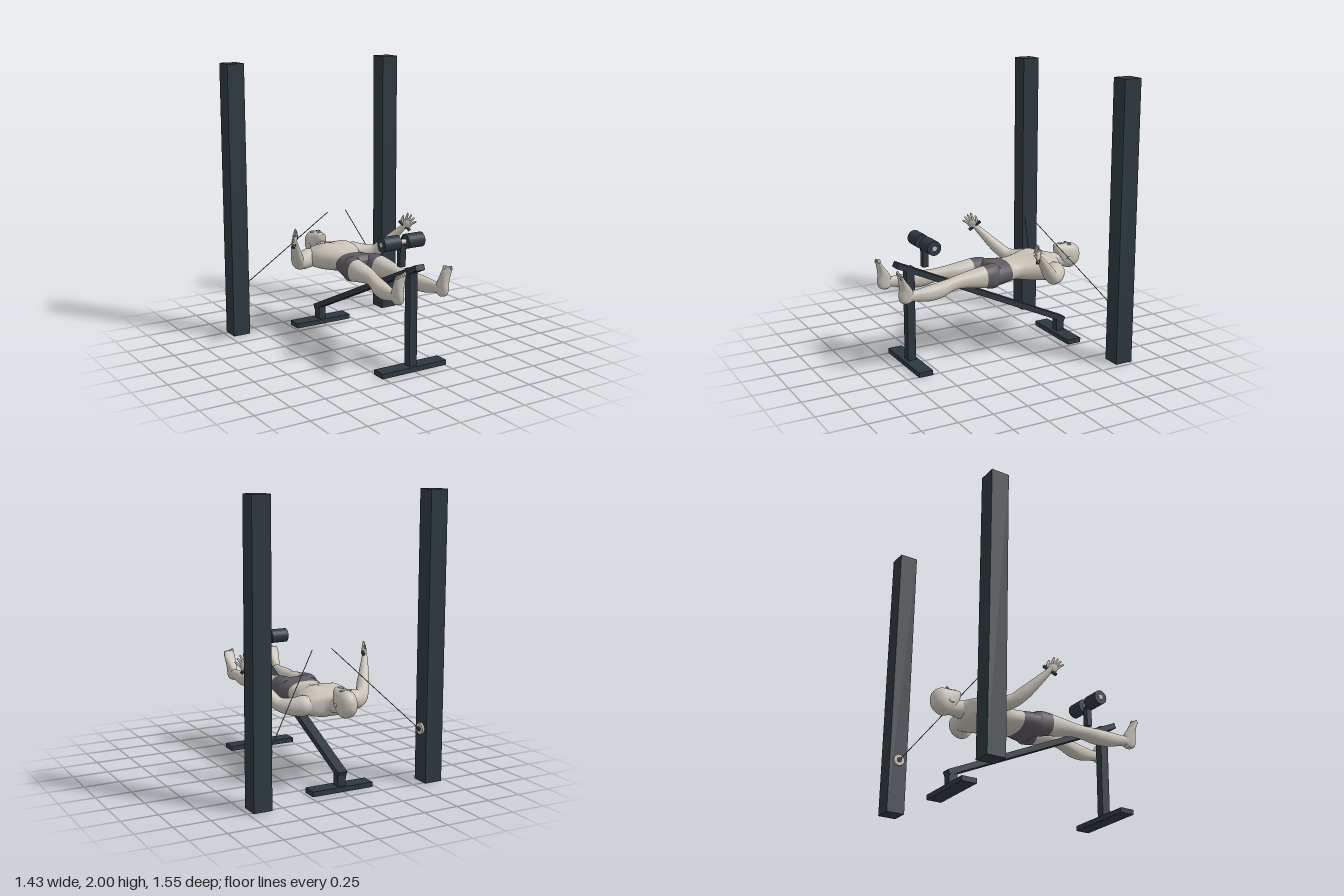
import * as THREE from 'three';
import { mergeVertices } from 'three/addons/utils/BufferGeometryUtils.js';

const mat = (name, color) => {
  const m = new THREE.MeshStandardMaterial({ color });
  m.name = name;
  return m;
};

// Cross-sections [s, centreX, halfWidth, low, high] lofted along z with smooth interpolation
function loft(st, i0 = 0, i1 = st.length - 1, rule = (x, y) => y) {
  const N = 32, sub = 6, steps = (i1 - i0) * sub, pos = [], idx = [];
  const at = i => st[Math.min(st.length - 1, Math.max(0, i))];
  const sample = t => {
    const i = Math.min(Math.floor(t), st.length - 2), f = t - i;
    const [a, b, c, d] = [at(i - 1), at(i), at(i + 1), at(i + 2)];
    return b.map((v, k) => v + 0.5 * f * (c[k] - a[k] + f * (2 * a[k] - 5 * v + 4 * c[k] - d[k]
      + f * (3 * (v - c[k]) + d[k] - a[k]))));
  };
  for (let r = 0; r <= steps; r++) {
    const [s, cx, hw, lo, hi] = sample(i0 + r / sub);
    for (let j = 0; j < N; j++) {
      const a = j / N * Math.PI * 2, c = Math.cos(a), n = Math.sin(a);
      const x = cx + hw * Math.sign(c) * Math.abs(c) ** 0.88;
      const y = (lo + hi) / 2 + (hi - lo) / 2 * Math.sign(n) * Math.abs(n) ** 0.88;
      pos.push(x, rule(x, y, s, n), s);
      if (r < steps) {
        const p = r * N + j, q = r * N + (j + 1) % N;
        idx.push(p, q, p + N, q, q + N, p + N);
      }
    }
  }
  const cap = (t, r, flip) => {
    const [s, cx, , lo, hi] = sample(t), c = pos.length / 3;
    pos.push(cx, (lo + hi) / 2, s);
    for (let j = 0; j < N; j++) {
      const p = r * N + j, q = r * N + (j + 1) % N;
      idx.push(c, flip ? q : p, flip ? p : q);
    }
  };
  if (i0 === 0) cap(0, 0, true);
  if (i1 === st.length - 1) cap(i1, steps, false);
  const g = new THREE.BufferGeometry();
  g.setAttribute('position', new THREE.Float32BufferAttribute(pos, 3));
  g.setIndex(idx);
  g.computeVertexNormals();
  return g;
}

// Tube through points [x, y, z, radius] with a changing radius
function limb(pts, steps = 24, sides = 14) {
  const curve = new THREE.CatmullRomCurve3(pts.map(p => new THREE.Vector3(p[0], p[1], p[2])));
  let g = new THREE.TubeGeometry(curve, steps, 1, sides);
  const p = g.attributes.position, v = new THREE.Vector3();
  for (let i = 0; i < p.count; i++) {
    const u = Math.floor(i / (sides + 1)) / steps, c = curve.getPointAt(u);
    const t = curve.getUtoTmapping(u) * (pts.length - 1), k = Math.min(Math.floor(t), pts.length - 2);
    const r = THREE.MathUtils.lerp(pts[k][3], pts[k + 1][3], t - k);
    v.fromBufferAttribute(p, i).sub(c).multiplyScalar(r).add(c);
    p.setXYZ(i, v.x, v.y, v.z);
  }
  g.deleteAttribute('uv');
  g.deleteAttribute('normal');
  g = mergeVertices(g, 1e-5);
  g.computeVertexNormals();
  return g;
}

export function createModel() {
  const model = new THREE.Group();
  const steel = mat('dark steel', 0x2d383f), skin = mat('pale grey body', 0xc8c2b7);
  const cloth = mat('shorts grey', 0x5d5961), metal = mat('light metal', 0xc4bdb4), wire = mat('cable grey', 0x6c6864);
  const add = (name, geo, m, x = 0, y = 0, z = 0) => {
    const mesh = new THREE.Mesh(geo, m);
    mesh.name = name;
    mesh.position.set(x, y, z);
    model.add(mesh);
    return mesh;
  };
  const box = (name, w, h, d, x, y, z) => add(name, new THREE.BoxGeometry(w, h, d), steel, x, y, z);
  const rod = (name, a, b, r, m, sides = 24) => {
    const d = b.clone().sub(a), mesh = add(name, new THREE.CylinderGeometry(r, r, d.length(), sides), m);
    mesh.position.copy(a).addScaledVector(d, 0.5);
    mesh.quaternion.setFromUnitVectors(new THREE.Vector3(0, 1, 0), d.normalize());
    return mesh;
  };
  const ball = (name, r, sx, sy, sz, x, y, z, m = skin) => {
    const b = add(name, new THREE.SphereGeometry(r, 16, 12), m, x, y, z);
    b.scale.set(sx, sy, sz);
    return b;
  };
  const V = (x, y, z) => new THREE.Vector3(x, y, z);

  // Bench frame
  box('frontFoot', 0.52, 0.035, 0.105, 0, 0.0175, 0.612);
  box('frontUpright', 0.06, 0.69, 0.06, 0, 0.365, 0.61);
  box('rearFoot', 0.46, 0.035, 0.108, 0, 0.0175, -0.606);
  box('rearUpright', 0.06, 0.105, 0.06, 0, 0.085, -0.61);
  const beam = box('inclinedBeam', 0.07, 0.04, 1.49, 0, 0.428, 0.033);
  beam.rotation.x = -Math.atan2(0.62, 1.35);
  box('rollerStem', 0.045, 0.15, 0.04, 0, 0.77, 0.49);
  rod('rollerAxle', V(-0.163, 0.865, 0.49), V(0.163, 0.865, 0.49), 0.017, metal);

  // Torso with chest muscles and a shallow centre line
  const torso = [
    [-0.565, 0, 0.05, 0.535, 0.64], [-0.543, 0, 0.085, 0.515, 0.645], [-0.52, 0, 0.165, 0.498, 0.647],
    [-0.48, 0, 0.205, 0.48, 0.658], [-0.42, 0, 0.205, 0.475, 0.67], [-0.35, 0, 0.19, 0.48, 0.675],
    [-0.28, 0, 0.158, 0.49, 0.665], [-0.2, 0, 0.131, 0.505, 0.654], [-0.135, 0, 0.14, 0.5, 0.655],
    [-0.05, 0, 0.158, 0.487, 0.662], [0, 0, 0.155, 0.49, 0.662], [0.03, 0, 0.1, 0.53, 0.63]];
  const muscles = (x, y, z, n) => {
    const bell = (v, c, w) => Math.exp(-(((v - c) / w) ** 2));
    const groove = 0.006 * bell(x, 0, 0.014) * bell(z, -0.33, 0.17);
    return n > 0 ? y + 0.014 * bell(Math.abs(x), 0.085, 0.05) * bell(z, -0.39, 0.05) - groove : y + groove;
  };
  add('torso', loft(torso, 0, 8, muscles), skin);
  add('shortsWaist', loft(torso, 8, 11, muscles), cloth);

  // Neck, head and face
  add('neck', loft([[-0.65, 0, 0.048, 0.53, 0.64], [-0.59, 0, 0.048, 0.528, 0.64],
    [-0.55, 0, 0.06, 0.522, 0.64], [-0.51, 0, 0.08, 0.53, 0.62]]), skin);
  add('head', loft([[-0.777, 0, 0.014, 0.585, 0.635], [-0.757, 0, 0.045, 0.55, 0.672], [-0.72, 0, 0.063, 0.524, 0.697],
    [-0.68, 0, 0.066, 0.515, 0.702], [-0.63, 0, 0.058, 0.535, 0.704], [-0.6, 0, 0.049, 0.575, 0.706],
    [-0.578, 0, 0.036, 0.63, 0.706], [-0.565, 0, 0.018, 0.655, 0.697]]), skin);
  const nose = add('nose', new THREE.ConeGeometry(0.012, 0.045, 12), skin, 0, 0.706, -0.645);
  nose.rotation.x = -Math.PI / 2 + 0.25;
  ball('upperLip', 0.01, 1.7, 0.5, 0.45, 0, 0.706, -0.612);
  ball('lowerLip', 0.01, 1.5, 0.5, 0.5, 0, 0.706, -0.603);

  // Body cross-sections shared by both sides
  const leg = [[-0.04, 0.085, 0.06, 0.505, 0.65], [0, 0.089, 0.074, 0.488, 0.665], [0.08, 0.1, 0.07, 0.503, 0.66],
    [0.2, 0.104, 0.063, 0.525, 0.642], [0.29, 0.113, 0.048, 0.535, 0.63], [0.36, 0.127, 0.047, 0.527, 0.62],
    [0.45, 0.147, 0.055, 0.505, 0.613], [0.55, 0.165, 0.047, 0.503, 0.606], [0.63, 0.175, 0.034, 0.52, 0.6],
    [0.7, 0.18, 0.03, 0.53, 0.6]];
  const foot = [[0.518, 0.178, 0.018, -0.735, -0.69], [0.535, 0.178, 0.029, -0.76, -0.667],
    [0.575, 0.18, 0.033, -0.768, -0.662], [0.62, 0.182, 0.036, -0.763, -0.678], [0.67, 0.185, 0.041, -0.764, -0.715],
    [0.7, 0.186, 0.042, -0.768, -0.735], [0.728, 0.187, 0.036, -0.77, -0.752]];
  const arm = [[0.12, 0.57, -0.465, 0.055], [0.195, 0.568, -0.45, 0.072], [0.25, 0.563, -0.42, 0.062],
    [0.325, 0.575, -0.35, 0.046], [0.37, 0.63, -0.29, 0.045], [0.42, 0.71, -0.22, 0.033],
    [0.455, 0.772, -0.168, 0.022], [0.47, 0.8, -0.145, 0.018]];

  for (const s of [1, -1]) {
    const side = s > 0 ? 'left' : 'right';
    const flip = st => st.map(([a, c, ...rest]) => [a, c * s, ...rest]);
    const P = (x, y, z) => V(x * s, y, z);

    // Tower, pulley, cable and leg roller
    box(side + 'Tower', 0.13, 2, 0.13, 0.65 * s, 1, -0.705);
    rod(side + 'Pulley', P(0.59, 0.375, -0.705), P(0.569, 0.375, -0.705), 0.04, metal);
    rod(side + 'PulleyHub', P(0.572, 0.375, -0.705), P(0.56, 0.375, -0.705), 0.016, steel);
    rod(side + 'Cable', P(0.567, 0.375, -0.703), P(0.075, 0.918, -0.358), 0.003, wire, 8);
    rod(side + 'Roller', P(0.03, 0.865, 0.49), P(0.16, 0.865, 0.49), 0.051, steel, 32);

    // Leg, shorts leg, foot and toes
    add(side + 'ShortsLeg', loft(flip(leg), 0, 2), cloth);
    add(side + 'Leg', loft(flip(leg), 2, 9), skin);
    add(side + 'Foot', loft(flip(foot)).rotateX(-Math.PI / 2), skin);
    for (let i = 0; i < 5; i++) {
      const r = 0.0125 - i * 0.0012;
      ball(side + 'Toe', r, 0.8, 1.3, 0.9, s * (0.157 + i * 0.0155), 0.73 - i * 0.005, 0.763);
    }

    // Ear and eye socket lids
    ball(side + 'Ear', 0.017, 0.4, 0.8, 1.2, 0.064 * s, 0.602, -0.655);
    ball(side + 'Eyelid', 0.011, 1.2, 0.5, 0.6, 0.026 * s, 0.697, -0.668);
    ball(side + 'Brow', 0.016, 1.4, 0.4, 0.4, 0.026 * s, 0.7, -0.682);

    // Arm and hand gripping a handle
    add(side + 'Arm', limb(arm.map(([x, ...r]) => [x * s, ...r]), 40, 24), skin);
    const a = P(0.432, 0.827, -0.178), b = P(0.492, 0.757, -0.122);
    const f = P(0.03, 0.07, 0.045).normalize(), w = b.clone().sub(a).normalize();
    const n = f.clone().cross(w).normalize();
    const palm = ball(side + 'Palm', 1, 0.04, 0.036, 0.015, 0.472 * s, 0.805, -0.137);
    palm.quaternion.setFromRotationMatrix(new THREE.Matrix4().makeBasis(f, n.clone().cross(f), n));
    rod(side + 'Handle', a, b, 0.012, steel);
    const on = (u, v, r) => {
      const q = palm.position.clone().addScaledVector(f, u).addScaledVector(w, v);
      return [q.x, q.y, q.z, r];
    };
    [0.058, 0.066, 0.063, 0.05].forEach((len, i) => {
      const v = -0.025 + i * 0.017, out = v * 1.7;
      add(side + 'Finger', limb([on(0.018, v, 0.009), on(0.018 + len * 0.55, (v + out) / 2, 0.008),
        on(0.018 + len * 0.93, out, 0.006), on(0.018 + len, out * 1.03, 0.0005)], 12, 10), skin);
    });
    add(side + 'Thumb', limb([on(-0.02, -0.02, 0.011), on(0.005, -0.045, 0.01),
      on(0.032, -0.056, 0.007), on(0.038, -0.057, 0.0005)], 12, 10), skin);
  }
  return model;
}
